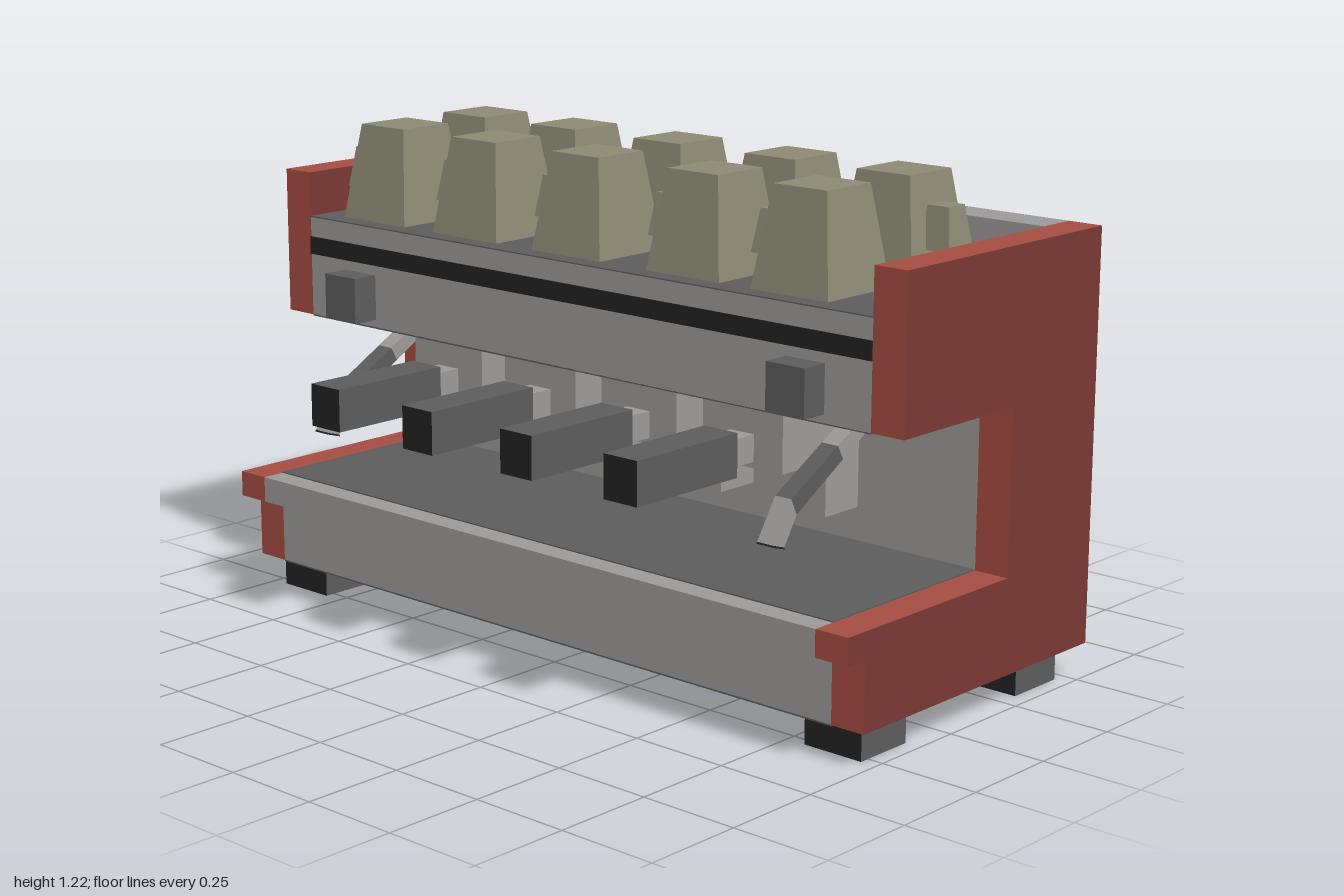
import * as THREE from 'three';

const mat = (name, color) => {
  const m = new THREE.MeshStandardMaterial({ color });
  m.name = name;
  return m;
};

export function createModel() {
  const group = new THREE.Group();
  const steel = mat('light grey steel', 0x9b9a98);
  const dark = mat('dark grey', 0x5c5c5c);
  const black = mat('black', 0x222222);
  const edgeRed = mat('edge red', 0xa54c42);
  const sideRed = mat('side red', 0x7b3834);
  const olive = mat('olive cup', 0x8c8a74);

  const add = (name, geometry, material) => {
    const mesh = new THREE.Mesh(geometry, material);
    mesh.name = name;
    group.add(mesh);
    return mesh;
  };
  // Box given by its ranges
  const box = (name, [x0, x1], [y0, y1], [z0, z1], material) =>
    add(name, new THREE.BoxGeometry(x1 - x0, y1 - y0, z1 - z0), material)
      .position.set((x0 + x1) / 2, (y0 + y1) / 2, (z0 + z1) / 2);
  // Side profile of [z, y] points, extruded from x0 to x1
  const profile = (name, points, x0, x1, material) => {
    const shape = new THREE.Shape(points.map(([z, y]) => new THREE.Vector2(-z, y)));
    const geo = new THREE.ExtrudeGeometry(shape, { depth: x1 - x0, bevelEnabled: false });
    geo.rotateY(Math.PI / 2).translate(x0, 0, 0);
    return add(name, geo, material);
  };

  // C-shaped side panels and the body between them
  const base = [[-0.53, 0.085], [0.32, 0.085], [0.32, 0.255], [0.38, 0.255], [0.38, 0.32],
    [-0.2, 0.32], [-0.2, 0.72], [0.2, 0.72]];
  const panel = [...base, [0.2, 1.09], [-0.53, 1.09]];
  profile('rightPanel', panel, -1, -0.91, [sideRed, edgeRed]);
  profile('leftPanel', panel, 0.91, 1, [sideRed, edgeRed]);
  profile('body', [...base, [0.2, 0.975], [-0.43, 0.975], [-0.43, 1.09], [-0.53, 1.09]],
    -0.91, 0.91, steel);

  // Dark surfaces and the black front stripe
  const wide = [-0.91, 0.91];
  box('cupTray', wide, [0.974, 0.978], [-0.43, 0.2], dark);
  box('dripTray', wide, [0.319, 0.323], [-0.2, 0.32], dark);
  box('headUnderside', wide, [0.717, 0.721], [-0.2, 0.2], dark);
  box('bottomPlate', wide, [0.082, 0.086], [-0.53, 0.32], dark);
  box('frontStripe', wide, [0.88, 0.925], [0.199, 0.204], black);

  // Feet
  for (const s of [-1, 1]) {
    for (const z of [-0.385, 0.195]) {
      box('foot', [s * 0.88 - 0.08, s * 0.88 + 0.08], [0, 0.085], [z - 0.08, z + 0.08],
        [dark, dark, black, black, black, black]);
    }
  }

  // Brewing groups with their handles
  for (const x of [-0.487, -0.165, 0.16, 0.482]) {
    const span = (h) => [x - h, x + h];
    box('groupBack', span(0.084), [0.405, 0.72], [-0.2, -0.078], steel);
    box('groupHead', span(0.12), [0.555, 0.72], [-0.07, 0.125], steel);
    box('handleNeck', span(0.035), [0.57, 0.635], [0.125, 0.2], steel);
    box('handle', span(0.05), [0.55, 0.655], [0.2, 0.535],
      [dark, dark, dark, dark, black, dark]);
  }

  // Steam knobs and bent steam pipes on both sides
  for (const s of [-1, 1]) {
    box('steamKnob', [s * 0.725 - 0.055, s * 0.725 + 0.055], [0.74, 0.855], [0.2, 0.27], dark);
    const x0 = s * 0.731 - 0.023, x1 = x0 + 0.046;
    profile('pipeTop', [[-0.09, 0.72], [0.097, 0.614], [0.116, 0.648], [-0.013, 0.72]], x0, x1, steel);
    profile('pipeGrip', [[0.097, 0.614], [0.258, 0.519], [0.277, 0.558], [0.116, 0.648]], x0, x1, dark);
    profile('pipeNozzle', [[0.258, 0.519], [0.299, 0.453], [0.337, 0.465], [0.277, 0.558]], x0, x1, steel);
    profile('pipeTip', [[0.299, 0.453], [0.297, 0.448], [0.339, 0.461], [0.337, 0.465]], x0, x1, black);
  }

  // Square tapered cups in two rows, ears pointing opposite ways
  const taper = (name, top, bottom, y0, y1, x, z) => {
    const geo = new THREE.CylinderGeometry(top * Math.SQRT2, bottom * Math.SQRT2, y1 - y0, 4)
      .rotateY(Math.PI / 4).toNonIndexed();
    geo.computeVertexNormals();
    add(name, geo, olive).position.set(x, (y0 + y1) / 2, z);
  };
  const rows = [
    { z: 0.04, ear: -0.122, xs: [-0.723, -0.396, -0.052, 0.319, 0.635] },
    { z: -0.25, ear: 0.122, xs: [-0.727, -0.406, -0.053, 0.305, 0.642] },
  ];
  for (const { z, ear, xs } of rows) {
    for (const x of xs) {
      taper('cup', 0.077, 0.112, 0.975, 1.217, x, z);
      taper('cupEar', 0.03, 0.045, 1.045, 1.147, x + ear, z);
    }
  }
  return group;
}
